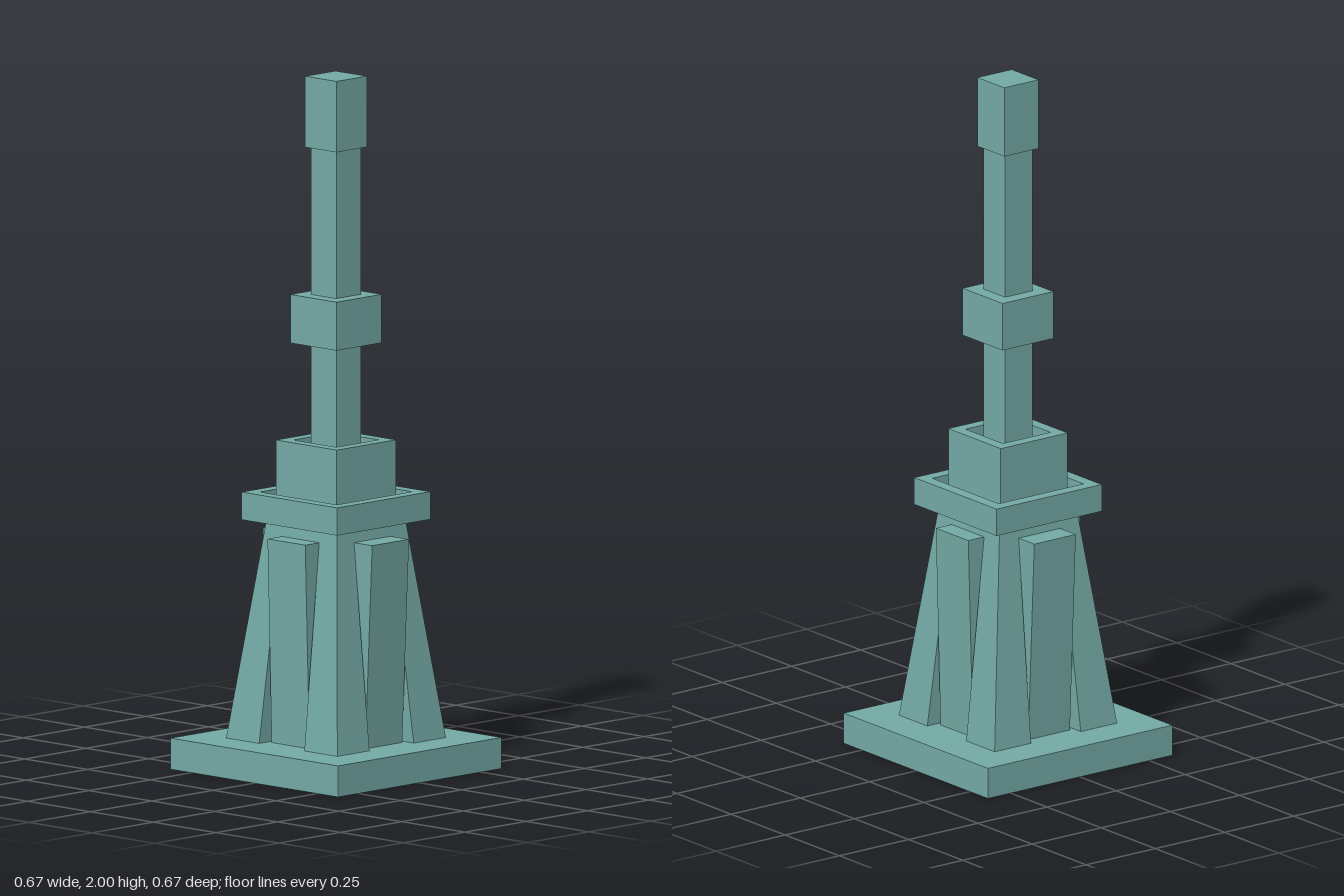
import * as THREE from 'three';

export function createModel() {
  const model = new THREE.Group();
  model.name = 'tower';
  const material = new THREE.MeshStandardMaterial({ color: 0x74aaa5, flatShading: true });

  function add(name, geometry, parent = model) {
    const mesh = new THREE.Mesh(geometry, material);
    mesh.name = name;
    parent.add(mesh);
    return mesh;
  }

  // Square block of half-width h between heights y0 and y1
  function block(name, h, y0, y1) {
    add(name, new THREE.BoxGeometry(2 * h, y1 - y0, 2 * h).translate(0, (y0 + y1) / 2, 0));
  }

  // Tapered block: bottom and top rectangles given as [x0, x1, z0, z1]
  function taper(bottom, top, y0, y1) {
    const g = new THREE.BoxGeometry(1, 1, 1);
    const p = g.attributes.position;
    for (let i = 0; i < p.count; i++) {
      const isTop = p.getY(i) > 0;
      const r = isTop ? top : bottom;
      p.setXYZ(i, p.getX(i) > 0 ? r[1] : r[0], isTop ? y1 : y0, p.getZ(i) > 0 ? r[3] : r[2]);
    }
    g.computeVertexNormals();
    return g;
  }
  const square = (h) => [-h, h, -h, h];

  // Square tray: raised rim around a sunken floor
  function tray(name, outer, inner, y0, floorY, y1) {
    const path = (Type, h) => new Type([[-h, -h], [h, -h], [h, h], [-h, h]].map(([x, y]) => new THREE.Vector2(x, y)));
    const shape = path(THREE.Shape, outer);
    shape.holes.push(path(THREE.Path, inner));
    const rim = new THREE.ExtrudeGeometry(shape, { depth: y1 - y0, bevelEnabled: false });
    add(name + 'Rim', rim.rotateX(-Math.PI / 2).translate(0, y0, 0));
    block(name + 'Floor', inner, y0, floorY);
  }

  // Foundation slab
  block('base', 0.333, 0, 0.09);

  // Tapered body: recessed core, four corner legs and a closed top band
  add('core', taper(square(0.165), square(0.13), 0.09, 0.69));
  const legs = new THREE.Group();
  legs.name = 'cornerLegs';
  model.add(legs);
  for (const sx of [-1, 1]) for (const sz of [-1, 1]) {
    const corner = (a, b) => [
      Math.min(sx * a, sx * b), Math.max(sx * a, sx * b),
      Math.min(sz * a, sz * b), Math.max(sz * a, sz * b)];
    add('cornerLeg', taper(corner(0.09, 0.221), corner(0.075, 0.145), 0.09, 0.68), legs);
  }
  add('bodyTop', taper(square(0.145), square(0.14), 0.68, 0.72));

  // Buttress panels leaning outwards, one per side
  const panels = new THREE.Group();
  panels.name = 'panels';
  model.add(panels);
  for (let i = 0; i < 4; i++) {
    const [low, high] = i % 2 ? [0.185, 0.202] : [0.19, 0.217];
    const panel = add('panel', taper([-0.075, 0.075, 0.1, low], [-0.075, 0.075, 0.1, high], 0.09, 0.68), panels);
    panel.rotation.y = i * Math.PI / 2;
  }

  // Collar and upper block, both with a sunken top
  tray('collar', 0.19, 0.153, 0.72, 0.76, 0.8);
  tray('upperBlock', 0.121, 0.086, 0.76, 0.91, 0.95);

  // Mast with its ring and cap
  block('mast', 0.05, 0.91, 1.8);
  block('mastRing', 0.092, 1.23, 1.37);
  block('mastCap', 0.062, 1.795, 2);

  return model;
}
